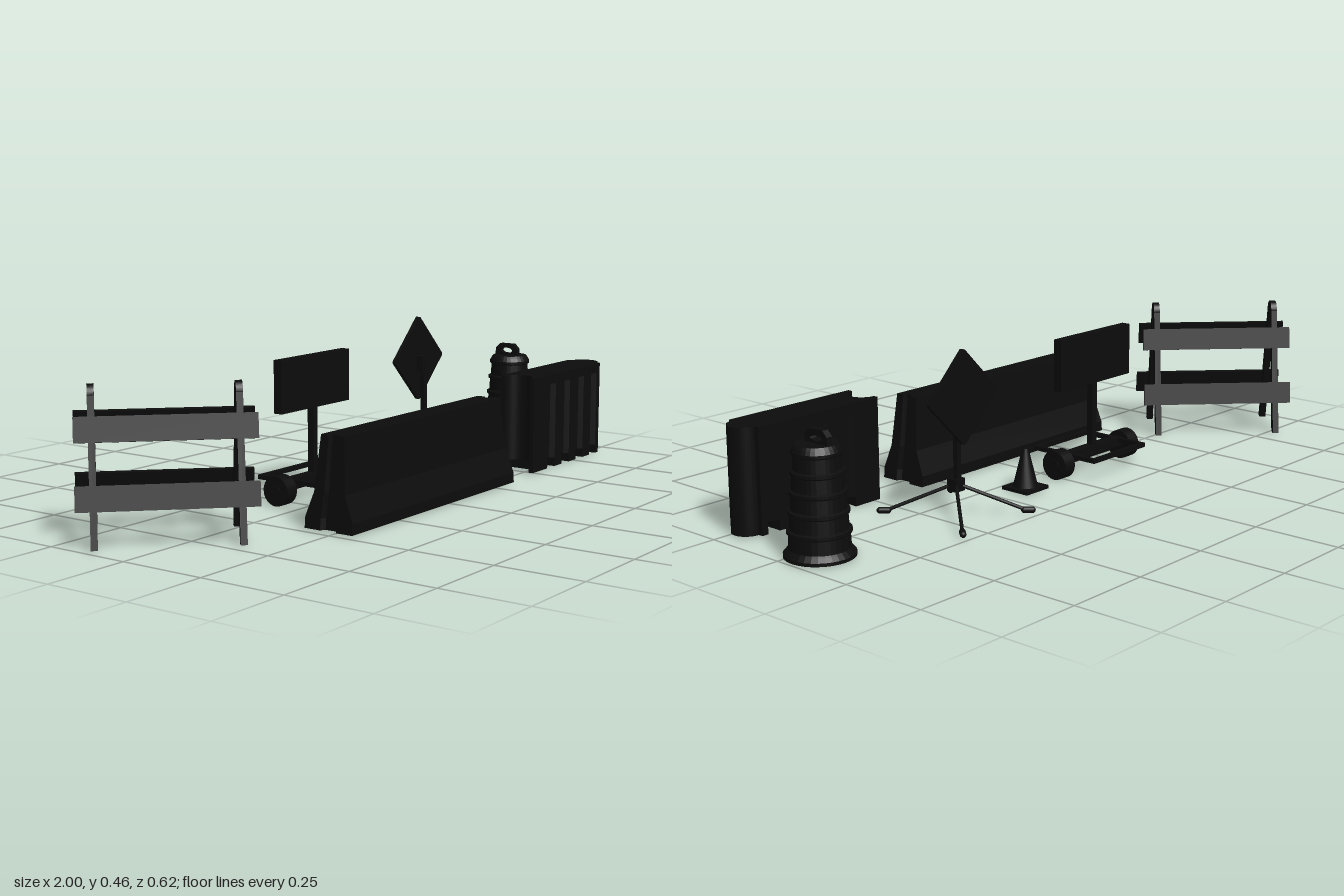
import * as THREE from 'three';

const mat = new THREE.MeshStandardMaterial({ color: 0x0c0c0c, side: THREE.DoubleSide });
const V = (x, y, z) => new THREE.Vector3(x, y, z);

function add(parent, name, geo, x = 0, y = 0, z = 0) {
  const m = new THREE.Mesh(geo, mat);
  m.name = name;
  m.position.set(x, y, z);
  parent.add(m);
  return m;
}
const box = (parent, name, w, h, d, x, y, z) => add(parent, name, new THREE.BoxGeometry(w, h, d), x, y, z);

// Round bar between two points
function rod(parent, name, a, b, r, sides = 10) {
  const m = add(parent, name, new THREE.CylinderGeometry(r, r, a.distanceTo(b), sides));
  m.position.copy(a).lerp(b, 0.5);
  m.quaternion.setFromUnitVectors(V(0, 1, 0), b.clone().sub(a).normalize());
  return m;
}
function group(parent, name, x = 0, z = 0) {
  const g = new THREE.Group();
  g.name = name;
  g.position.set(x, 0, z);
  parent.add(g);
  return g;
}
// Plan outline raised from y0 to y1
function raise(shape, y0, y1, steps = 1) {
  return new THREE.ExtrudeGeometry(shape, { depth: y1 - y0, bevelEnabled: false, steps, curveSegments: 10 })
    .rotateX(-Math.PI / 2).translate(0, y0, 0);
}

// Folding barricade: two A-frames with two boards on each side, turned 45 degrees
function barricade(root) {
  const g = group(root, 'barricade', -0.763, -0.07);
  g.rotation.y = -Math.PI / 4;
  const s = new THREE.Shape();
  s.moveTo(-0.115, 0);
  s.lineTo(-0.028, 0.378);
  s.absarc(0, 0.377, 0.028, Math.PI, 0, true);
  s.lineTo(0.115, 0);
  s.lineTo(0.09, 0);
  s.lineTo(0.006, 0.36);
  s.lineTo(-0.006, 0.36);
  s.lineTo(-0.09, 0);
  s.closePath();
  const frame = new THREE.ExtrudeGeometry(s, { depth: 0.018, bevelEnabled: false, curveSegments: 12 })
    .translate(0, 0, -0.009).rotateY(Math.PI / 2);
  for (const side of [-1, 1]) {
    add(g, 'aFrame', frame, side * 0.187, 0.003, 0);
    const tilt = Math.atan2(0.087, 0.378);
    for (const y of [0.13, 0.299]) {
      const outer = 0.115 - y * 0.087 / 0.378 + 0.006;
      box(g, 'board', 0.465, 0.066, 0.012, 0, y, side * outer).rotation.x = -side * tilt;
    }
  }
}

// Concrete barrier: notched plan, widened toward the foot
function concreteBarrier(root) {
  const g = group(root, 'concreteBarrier', -0.072, 0.232);
  const s = new THREE.Shape();
  s.moveTo(-1, -1);
  s.lineTo(1, -1);
  for (const [x, z] of [[1, -0.34], [0.965, -0.24], [0.965, 0.24], [1, 0.34], [1, 1], [-1, 1],
    [-1, 0.34], [-0.965, 0.24], [-0.965, -0.24], [-1, -0.34]]) s.lineTo(x, z);
  s.closePath();
  const geo = raise(s, 0, 3, 3);
  // Height, half length and half width of each level
  const levels = [[0.004, 0.407, 0.077], [0.035, 0.404, 0.077], [0.105, 0.4, 0.05], [0.256, 0.385, 0.038]];
  const p = geo.attributes.position;
  for (let i = 0; i < p.count; i++) {
    const [y, len, wide] = levels[Math.round(p.getY(i))];
    p.setXYZ(i, p.getX(i) * len, y, p.getZ(i) * wide);
  }
  geo.computeVertexNormals();
  add(g, 'barrierBody', geo);
}

// Plastic barrier: ribbed sides, socket at one end and round tongue at the other
function plasticBarrier(root) {
  const g = group(root, 'plasticBarrier', 0, 0.228);
  const W = 0.058, ribs = [[0.62, 0.665], [0.71, 0.755], [0.8, 0.845]];
  const plan = (dip) => {
    const s = new THREE.Shape();
    s.moveTo(0.485, -W);
    const edge = [];
    let x = 0.575;
    for (const [a, b] of ribs.concat([[0.885, 0.905]])) {
      if (dip) edge.push([x, W], [x + 0.01, W - dip], [a - 0.01, W - dip], [a, W]);
      x = b;
    }
    edge.forEach(([ex, ez]) => s.lineTo(ex, -ez));
    s.lineTo(0.905, -W);
    s.lineTo(0.905, -0.044);
    s.absarc(0.905, 0, 0.044, -Math.PI / 2, Math.PI / 2, false);
    s.lineTo(0.905, W);
    edge.reverse().forEach(([ex, ez]) => s.lineTo(ex, ez));
    s.lineTo(0.485, W);
    s.lineTo(0.485, 0.046);
    s.absarc(0.485, 0, 0.044, Math.PI / 2, -Math.PI / 2, true);
    s.closePath();
    return s;
  };
  add(g, 'ribbedBody', raise(plan(0.014), 0.03, 0.265));
  add(g, 'topCap', raise(plan(0), 0.265, 0.295));
  // Feet under each rib and each end
  for (const [a, b] of ribs) box(g, 'foot', b - a, 0.028, 2 * W, (a + b) / 2, 0.017, 0);
  box(g, 'foot', 0.02, 0.028, 2 * W, 0.895, 0.017, 0);
  for (const side of [-1, 1]) box(g, 'socketFoot', 0.09, 0.028, 0.014, 0.53, 0.017, side * 0.051);
  box(g, 'socketFoot', 0.044, 0.028, 0.09, 0.552, 0.017, 0);
  add(g, 'tongueFoot', new THREE.CylinderGeometry(0.044, 0.044, 0.028, 24), 0.905, 0.017, 0);
}

// Traffic drum: stepped bands narrowing upward, with a carrying handle
function drum(root) {
  const g = group(root, 'drum', 0.903, -0.05);
  const pts = [[0, 0.003], [0.093, 0.003], [0.093, 0.012], [0.084, 0.022]];
  for (let i = 0; i < 5; i++) {
    const y = 0.026 + i * 0.051, r = 0.083 - i * 0.0045;
    pts.push([r - 0.003, y], [r - 0.005, y + 0.036], [r, y + 0.04], [r, y + 0.048]);
  }
  pts.push([0.06, 0.288], [0.054, 0.295], [0, 0.296]);
  const geo = new THREE.LatheGeometry(pts.map(([x, y]) => new THREE.Vector2(x, y)), 32).toNonIndexed();
  geo.computeVertexNormals();
  add(g, 'drumBody', geo);
  const s = new THREE.Shape();
  s.moveTo(-0.042, 0);
  s.lineTo(0.042, 0);
  s.lineTo(0.04, 0.025);
  s.lineTo(0.025, 0.04);
  s.lineTo(-0.025, 0.04);
  s.lineTo(-0.04, 0.025);
  s.closePath();
  s.holes.push(new THREE.Path().absellipse(0, 0.018, 0.022, 0.009, 0, Math.PI * 2));
  add(g, 'handle', new THREE.ExtrudeGeometry(s, { depth: 0.018, bevelEnabled: false })
    .translate(0, 0, -0.009).rotateY(Math.PI / 2), 0, 0.292, -0.008);
}

// Two-wheeled trailer carrying a message panel on a mast
function signTrailer(root) {
  const g = group(root, 'signTrailer', -0.146, -0.073);
  for (const side of [-1, 1]) {
    add(g, 'wheel', new THREE.CylinderGeometry(0.043, 0.043, 0.042, 24).rotateZ(Math.PI / 2), side * 0.15, 0.043, 0);
    add(g, 'hub', new THREE.CylinderGeometry(0.018, 0.018, 0.046, 16).rotateZ(Math.PI / 2), side * 0.15, 0.043, 0);
    box(g, 'sideRail', 0.012, 0.013, 0.225, side * 0.113, 0.063, 0.007);
    box(g, 'crossRail', 0.238, 0.013, 0.012, 0, 0.063, 0.007 + side * 0.107);
  }
  rod(g, 'axle', V(-0.15, 0.043, 0), V(0.15, 0.043, 0), 0.009);
  box(g, 'axleBeam', 0.24, 0.026, 0.03, 0, 0.058, 0);
  box(g, 'mast', 0.02, 0.2, 0.02, 0, 0.17, 0);
  box(g, 'messagePanel', 0.315, 0.15, 0.027, 0, 0.335, 0);
}

// Traffic cone on a square base
function cone(root) {
  const g = group(root, 'cone', 0.146, -0.069);
  box(g, 'coneBase', 0.093, 0.01, 0.093, 0, 0.006, 0);
  add(g, 'coneBody', new THREE.CylinderGeometry(0.009, 0.036, 0.11, 24), 0, 0.065, 0);
}

// Diamond sign on a four-legged stand
function standSign(root) {
  const g = group(root, 'standSign', 0.439, -0.078);
  for (const sx of [-1, 1]) for (const sz of [-1, 1]) {
    const foot = V(sx * 0.122, 0.014, sz * 0.138);
    rod(g, 'leg', V(0, 0.088, 0), foot, 0.005);
    const pad = add(g, 'footPad', new THREE.CapsuleGeometry(0.009, 0.022, 4, 10).rotateX(Math.PI / 2), foot.x + sx * 0.007, 0.012, foot.z + sz * 0.008);
    pad.rotation.y = Math.atan2(sx * 0.122, sz * 0.138);
  }
  box(g, 'standHub', 0.034, 0.035, 0.034, 0, 0.085, 0);
  box(g, 'post', 0.016, 0.26, 0.014, 0, 0.21, -0.006);
  box(g, 'bracket', 0.03, 0.05, 0.024, 0, 0.315, -0.012);
  const h = 0.094, r = 0.008, s = new THREE.Shape();
  s.absarc(h - r, h - r, r, 0, Math.PI / 2);
  s.absarc(r - h, h - r, r, Math.PI / 2, Math.PI);
  s.absarc(r - h, r - h, r, Math.PI, Math.PI * 1.5);
  s.absarc(h - r, r - h, r, Math.PI * 1.5, Math.PI * 2);
  s.closePath();
  const geo = new THREE.ExtrudeGeometry(s, { depth: 0.012, bevelEnabled: false, curveSegments: 6 });
  add(g, 'diamondPanel', geo.rotateZ(Math.PI / 4), 0, 0.331, -0.035);
}

export function createModel() {
  const root = new THREE.Group();
  root.name = 'roadworkSet';
  for (const build of [barricade, concreteBarrier, plasticBarrier, drum, signTrailer, cone, standSign]) build(root);
  return root;
}
